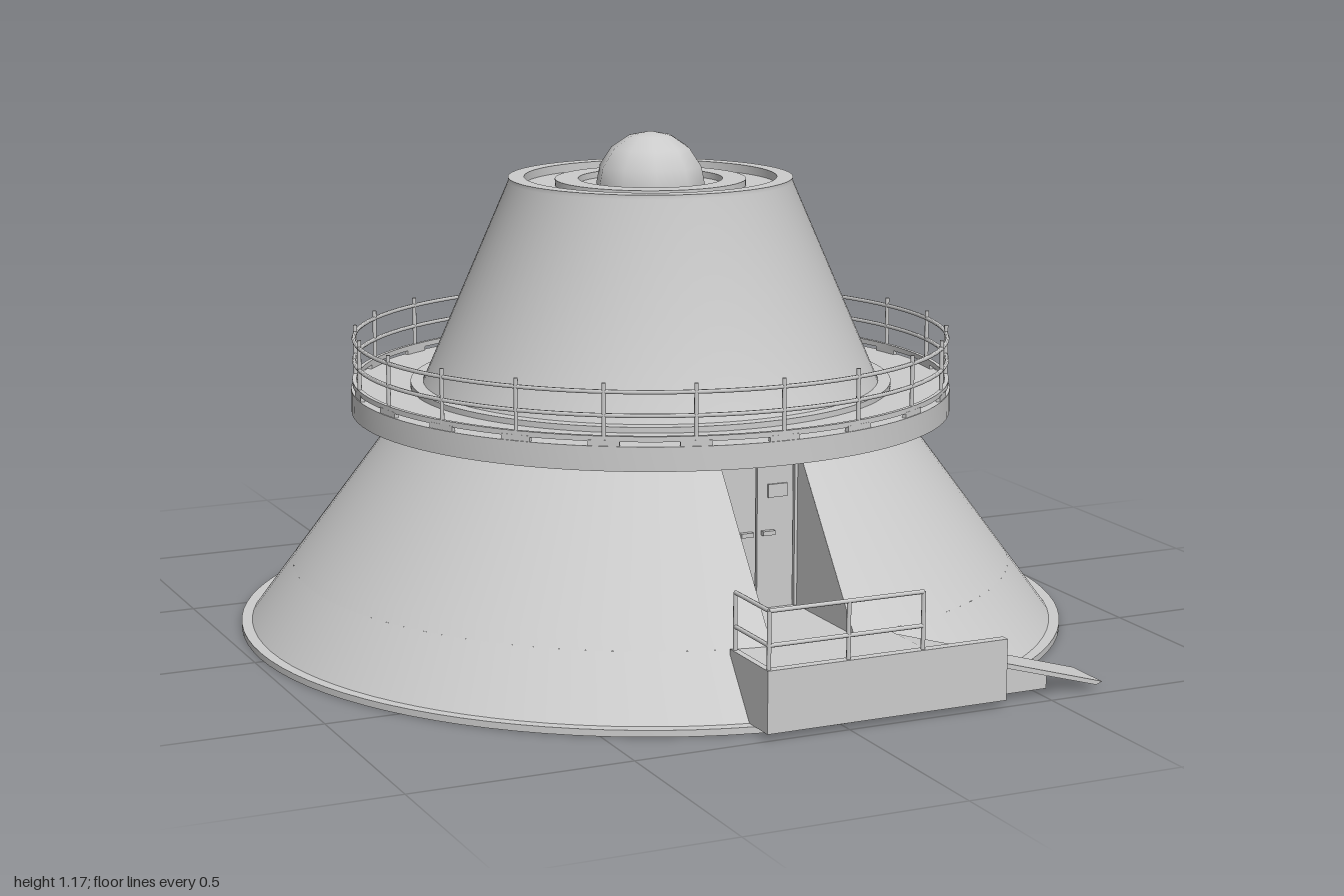
import * as THREE from 'three';
import { toCreasedNormals } from 'three/addons/utils/BufferGeometryUtils.js';

const grey = new THREE.MeshStandardMaterial({ color: 0xcccccc });
const thin = new THREE.MeshStandardMaterial({ color: 0xcccccc, side: THREE.DoubleSide });

function add(parent, name, geometry, material = grey) {
  const mesh = new THREE.Mesh(geometry, material);
  mesh.name = name;
  parent.add(mesh);
  return mesh;
}

// Box given by its minimum and maximum on each axis
function box(parent, name, [x0, x1], [y0, y1], [z0, z1]) {
  const mesh = add(parent, name, new THREE.BoxGeometry(x1 - x0, y1 - y0, z1 - z0));
  mesh.position.set((x0 + x1) / 2, (y0 + y1) / 2, (z0 + z1) / 2);
  return mesh;
}

// Turned solid with crisp edges; the profile runs up the outside
function turned(parent, name, profile) {
  const points = profile.map(([r, y]) => new THREE.Vector2(r, y));
  return add(parent, name, toCreasedNormals(new THREE.LatheGeometry(points, 96), 0.5));
}

// Round bar between two points
function bar(parent, name, a, b, radius = 0.005) {
  const from = new THREE.Vector3(...a), to = new THREE.Vector3(...b);
  const dir = to.clone().sub(from);
  const mesh = add(parent, name, new THREE.CylinderGeometry(radius, radius, dir.length(), 8));
  mesh.position.copy(from).add(to).multiplyScalar(0.5);
  mesh.quaternion.setFromUnitVectors(new THREE.Vector3(0, 1, 0), dir.normalize());
}

// Extruded outline drawn in x and y, running from z0 to z1
function slab(parent, name, outline, z0, z1) {
  const shape = new THREE.Shape(outline.map(([x, y]) => new THREE.Vector2(x, y)));
  const geometry = new THREE.ExtrudeGeometry(shape, { depth: z1 - z0, bevelEnabled: false });
  add(parent, name, geometry).position.z = z0;
}

const FLOOR = 0.15, CEILING = 0.515, HALF = 0.1;
const skirtRadius = (y) => 0.955 - (y - 0.015) * 0.74;

function buildSkirt(tower) {
  turned(tower, 'basePlate', [[0, 0], [0.98, 0], [0.98, 0.015], [0, 0.015]]);
  turned(tower, 'lowerSkirt', [[skirtRadius(0.015), 0.015], [skirtRadius(FLOOR), FLOOR]]);

  // Upper skirt, with its seam opened to the constant width of the doorway
  const rows = Array.from({ length: 13 }, (_, i) => {
    const y = FLOOR + (CEILING - FLOOR) * i / 12;
    return new THREE.Vector2(skirtRadius(y), y);
  });
  const geometry = new THREE.LatheGeometry(rows, 96);
  const { position, uv } = geometry.attributes;
  for (let i = 0; i < position.count; i++) {
    const y = position.getY(i), r = skirtRadius(y);
    const gap = Math.asin(HALF / r);
    const angle = gap + uv.getX(i) * 2 * (Math.PI - gap);
    position.setXYZ(i, r * Math.sin(angle), y, r * Math.cos(angle));
  }
  geometry.computeVertexNormals();
  add(tower, 'upperSkirt', geometry, thin);
}

function buildEntrance(tower) {
  const doorZ = 0.57;
  const edgeZ = (y) => Math.sqrt(skirtRadius(y) ** 2 - HALF ** 2);

  // Triangular side walls of the recess
  const wall = new THREE.Shape([
    new THREE.Vector2(doorZ, FLOOR), new THREE.Vector2(edgeZ(FLOOR), FLOOR),
    new THREE.Vector2(edgeZ(CEILING), CEILING), new THREE.Vector2(doorZ, CEILING),
  ]);
  for (const side of [-1, 1]) {
    const mesh = add(tower, 'recessWall', new THREE.ShapeGeometry(wall), thin);
    mesh.rotation.y = -Math.PI / 2;
    mesh.position.x = side * HALF;
  }
  box(tower, 'recessFloor', [-HALF, HALF], [0.13, FLOOR], [0.5, 0.87]);

  // Double door with frame, handles and a small plate
  box(tower, 'doorBacking', [-HALF, HALF], [FLOOR, CEILING], [doorZ - 0.03, doorZ - 0.01]);
  box(tower, 'doorLintel', [-HALF, HALF], [0.497, CEILING], [doorZ - 0.01, doorZ + 0.005]);
  for (const s of [-1, 1]) {
    const span = (a, b) => [Math.min(s * a, s * b), Math.max(s * a, s * b)];
    box(tower, 'doorJamb', span(0.093, HALF), [FLOOR, 0.497], [doorZ - 0.01, doorZ + 0.005]);
    box(tower, 'doorLeaf', span(0.002, 0.091), [FLOOR, 0.495], [doorZ - 0.012, doorZ]);
    box(tower, 'doorHandle', span(0.012, 0.042), [0.32, 0.33], [doorZ, doorZ + 0.012]);
  }
  box(tower, 'doorPlate', [0.027, 0.075], [0.405, 0.435], [doorZ, doorZ + 0.005]);
}

function buildPlatform(group) {
  box(group, 'platform', [-0.18, 0.19], [0.01, FLOOR], [0.8, 0.98]);
  box(group, 'platformSideWall', [-0.195, -0.18], [0.015, FLOOR + 0.003], [0.82, 1]);
  box(group, 'platformFrontWall', [-0.18, 0.385], [0.015, FLOOR + 0.003], [0.978, 1]);

  // Sloping ramp on a shorter wedge
  slab(group, 'ramp', [[0.19, 0.138], [0.63, 0.012], [0.645, 0.018], [0.19, 0.15]], 0.855, 0.975);
  slab(group, 'rampSupport', [[0.19, 0.015], [0.51, 0.015], [0.51, 0.05], [0.19, 0.142]], 0.87, 0.96);

  // Guard rails along the front and the right-hand end
  const x0 = -0.188, x1 = 0.18, z0 = 0.83, z1 = 0.99, top = 0.28;
  for (const [x, z] of [[x0, z0], [x0, z1], [0, z1], [x1, z1]]) {
    bar(group, 'platformPost', [x, FLOOR, z], [x, top, z]);
  }
  for (const y of [0.205, top]) {
    bar(group, 'platformRail', [x0, y, z1], [x1, y, z1]);
    bar(group, 'platformRail', [x0, y, z0], [x0, y, z1]);
  }
}

function buildGallery(tower) {
  turned(tower, 'galleryDeck', [
    [0.5, 0.51], [0.71, 0.51], [0.71, 0.565], [0.57, 0.565], [0.57, 0.578], [0.54, 0.578],
  ]);

  // Posts, rails and a toe board carried on spaced blocks
  const count = 22, r = 0.702;
  for (let i = 0; i < count; i++) {
    const a = i / count * Math.PI * 2;
    const x = r * Math.sin(a), z = r * Math.cos(a);
    bar(tower, 'galleryPost', [x, 0.56, z], [x, 0.703, z]);
    const block = add(tower, 'toeBlock', new THREE.BoxGeometry(0.07, 0.014, 0.01));
    block.position.set(x, 0.571, z);
    block.rotation.y = a;
  }
  turned(tower, 'toeBoard', [
    [0.697, 0.575], [0.707, 0.575], [0.707, 0.587], [0.697, 0.587], [0.697, 0.575],
  ]);
  for (const y of [0.632, 0.684]) {
    const rail = add(tower, 'galleryRail', new THREE.TorusGeometry(r, 0.005, 6, 96));
    rail.rotation.x = Math.PI / 2;
    rail.position.y = y;
  }
}

function buildTop(tower) {
  // Tapered upper body with concentric steps in its roof
  turned(tower, 'upperBody', [
    [0.545, 0.565], [0.335, 1.05], [0.335, 1.06], [0.297, 1.06], [0.297, 1.04],
    [0.225, 1.04], [0.225, 1.055], [0.17, 1.055], [0.17, 1.04], [0, 1.04],
  ]);
  const dome = add(tower, 'roofDome', new THREE.SphereGeometry(0.132, 10, 8));
  dome.position.y = 1.034;
}

export function createModel() {
  const group = new THREE.Group();
  group.name = 'conicalTower';
  const tower = new THREE.Group();
  tower.name = 'tower';
  tower.position.z = -0.02;
  group.add(tower);
  buildSkirt(tower);
  buildEntrance(tower);
  buildGallery(tower);
  buildTop(tower);
  buildPlatform(group);
  return group;
}
